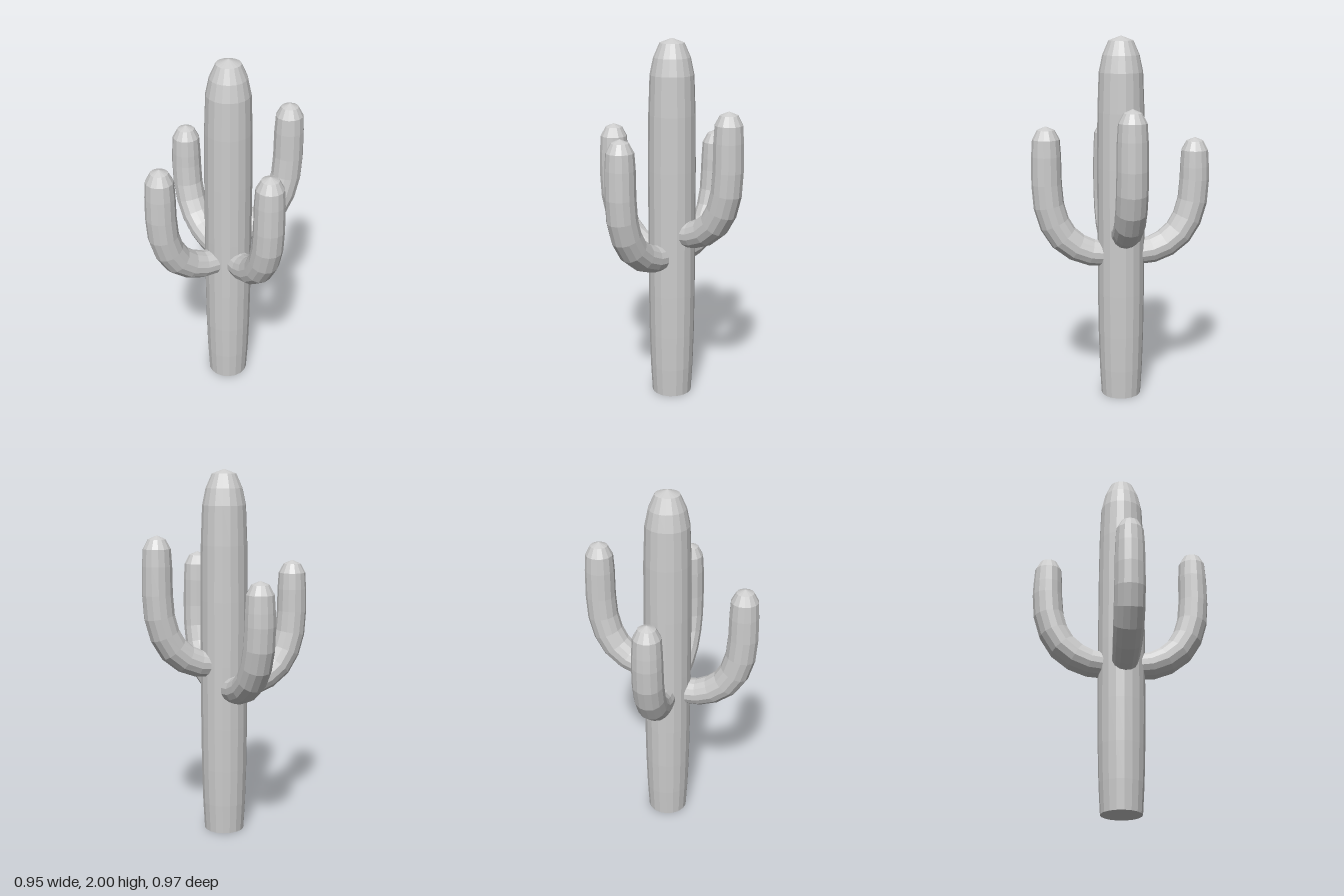
import * as THREE from 'three';

const material = new THREE.MeshStandardMaterial({
  color: 0xcccccc, flatShading: true, side: THREE.DoubleSide,
});

// Sweep round sections along a bend lying in the vertical plane through start and tip.
// Each section is [distance outward, height, radius].
function bentTube(start, dir, sections, sides) {
  const positions = [], index = [];
  const B = new THREE.Vector3(-dir.z, 0, dir.x);
  const centres = sections.map(([d, y]) =>
    start.clone().addScaledVector(dir, d).add(new THREE.Vector3(0, y, 0)));
  centres.forEach((c, i) => {
    const T = centres[Math.min(i + 1, centres.length - 1)].clone()
      .sub(centres[Math.max(i - 1, 0)]);
    const N = new THREE.Vector3().crossVectors(B, T).normalize();
    for (let j = 0; j < sides; j++) {
      const a = (j / sides) * Math.PI * 2, r = sections[i][2];
      const p = c.clone().addScaledVector(N, r * Math.cos(a)).addScaledVector(B, r * Math.sin(a));
      positions.push(p.x, p.y, p.z);
      if (i < centres.length - 1) {
        const k = (j + 1) % sides, q = i * sides, n = q + sides;
        index.push(q + j, q + k, n + j, q + k, n + k, n + j);
      }
    }
  });
  const geometry = new THREE.BufferGeometry();
  geometry.setAttribute('position', new THREE.Float32BufferAttribute(positions, 3));
  geometry.setIndex(index);
  geometry.computeVertexNormals();
  return geometry;
}

// An arm leaves the trunk sideways, curves up and ends in a blunt dome.
function makeArm(name, [x0, z0], [x1, z1], baseY, tipY) {
  const start = new THREE.Vector3(x0, baseY, z0);
  const dir = new THREE.Vector3(x1 - x0, 0, z1 - z0);
  const reach = dir.length(), h = tipY - baseY;
  dir.normalize();
  const sections = [
    [0, 0, 0], [0, 0, 0.07], [0.27, 0.01, 0.075], [0.51, 0.042, 0.079],
    [0.73, 0.1, 0.082], [0.88, 0.18, 0.083], [0.97, 0.28, 0.083],
    [1, 0.4, 0.082], [1, h - 0.16, 0.08], [1, h - 0.07, 0.074],
    [1, h - 0.02, 0.047], [1, h, 0],
  ].map(([d, y, r]) => [d * reach, y, r]);
  const arm = new THREE.Mesh(bentTube(start, dir, sections, 14), material);
  arm.name = name;
  return arm;
}

export function createModel() {
  const cactus = new THREE.Group();
  cactus.name = 'cactus';

  // Trunk: slightly swollen column with a tapered, blunt top
  const profile = [
    [0, 0], [0.11, 0], [0.119, 0.16], [0.125, 0.36], [0.128, 0.6], [0.129, 0.95],
    [0.129, 1.3], [0.126, 1.6], [0.118, 1.81], [0.099, 1.9], [0.066, 1.975], [0, 2],
  ].map(([r, y]) => new THREE.Vector2(r, y));
  const trunk = new THREE.Mesh(new THREE.LatheGeometry(profile, 18), material);
  trunk.name = 'trunk';
  trunk.position.set(0.014, 0, 0.003);
  cactus.add(trunk);

  // Four arms, each turned a little off the axes
  cactus.add(
    makeArm('leftArm', [0.08, -0.008], [0.392, -0.04], 0.95, 1.66),
    makeArm('rightArm', [-0.07, 0.025], [-0.398, 0.066], 0.815, 1.5),
    makeArm('frontArm', [0.025, 0.08], [0.06, 0.404], 0.82, 1.53),
    makeArm('backArm', [0, -0.08], [-0.06, -0.405], 0.82, 1.45),
  );
  return cactus;
}
